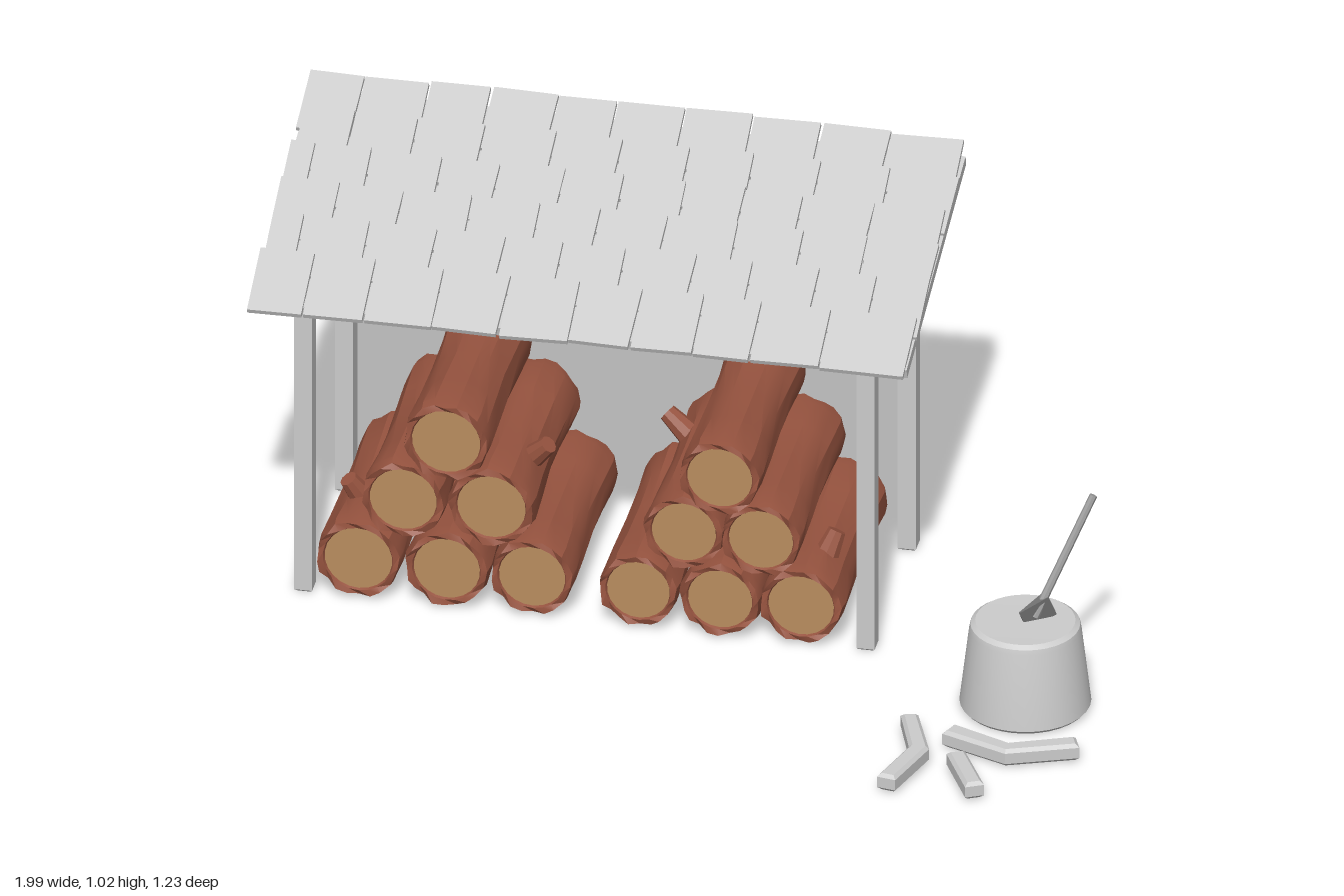
import * as THREE from 'three';
import { toCreasedNormals } from 'three/addons/utils/BufferGeometryUtils.js';

const material = (name, color) => {
  const m = new THREE.MeshStandardMaterial({ color });
  m.name = name;
  return m;
};

export function createModel() {
  const model = new THREE.Group();
  model.name = 'woodShelter';
  const grey = material('paleGrey', 0xcccccc);
  const midGrey = material('handleGrey', 0xa0a0a0);
  const darkGrey = material('axeGrey', 0x707070);
  const bark = material('bark', 0x96533f);
  const cutWood = material('cutWood', 0xb98d5f);

  let seed = 7;
  const rand = (a, b) => {
    seed = (seed * 16807) % 2147483647;
    return a + (b - a) * (seed / 2147483647);
  };
  const add = (name, geometry, mat, parent = model) => {
    const mesh = new THREE.Mesh(geometry, mat);
    mesh.name = name;
    parent.add(mesh);
    return mesh;
  };

  // Rectangle extruded upwards with chamfered edges, from y = 0 to y = height
  const slab = (points, height, bevel) => {
    const g = new THREE.ExtrudeGeometry(new THREE.Shape(points.map(p => new THREE.Vector2(...p))), {
      depth: height - 2 * bevel, bevelSize: bevel, bevelThickness: bevel, bevelOffset: -bevel, bevelSegments: 1,
    });
    return g.rotateX(Math.PI / 2).translate(0, height - bevel, 0);
  };

  // Four posts, taller at the back
  for (const x of [-0.883, 0.422]) {
    for (const [z, h, d, name] of [[-0.033, 0.783, 0.023, 'frontPost'], [-0.494, 0.92, 0.024, 'backPost']]) {
      const w = 0.021;
      add(name, slab([[-w, -d], [w, -d], [w, d], [-w, d]], h, 0.005), grey).position.set(x, 0.002, z);
    }
  }

  // Sloping roof board
  const board = add('roofBoard', new THREE.BoxGeometry(1.52, 0.025, 0.685), grey);
  board.position.set(-0.227, 0.877, -0.267);
  board.rotation.x = 0.275;

  // Six rows of uneven shingles, each tilted more steeply than the board
  const roof = new THREE.Group();
  roof.name = 'shingles';
  model.add(roof);
  const backs = [-0.065, -0.18, -0.29, -0.395, -0.5, -0.61];
  const firstWidths = [0.13, 0.075, 0.14, 0.06, 0.12, 0.13];
  backs.forEach((zBack, row) => {
    let x = -0.99 + rand(-0.005, 0.008);
    let width = firstWidths[row];
    while (x < 0.52) {
      let end = x + width;
      if (end > 0.48) end = 0.535 + rand(-0.005, 0.005);
      const length = 0.168 + rand(-0.006, 0.01);
      const s = add('shingle', new THREE.BoxGeometry(end - x - 0.005, 0.012, length), grey, roof);
      s.position.set((x + end) / 2, 0.822 + (-0.065 - zBack) * 0.292 + rand(-0.002, 0.003), zBack + 0.077 + rand(-0.004, 0.004));
      s.rotation.set(0.41, rand(-0.025, 0.025), rand(-0.012, 0.012));
      x = end;
      width = rand(0.13, 0.165);
    }
  });

  // A log: ragged bark sleeve with a raised rim and a cut face at each end
  const makeLog = (x, y, radius) => {
    const log = new THREE.Group();
    log.name = 'log';
    const half = 0.258 + rand(-0.004, 0.006);
    const profile = [[0.8, -half + 0.008], [0.84, -half], [0.98, -half], [1.02, -half + 0.03], [0.97, -0.13], [0.93, 0],
      [0.97, 0.13], [1.02, half - 0.03], [0.98, half], [0.84, half], [0.8, half - 0.008]];
    const g = new THREE.LatheGeometry(profile.map(([r, z]) => new THREE.Vector2(r * radius, z)), 22);
    const p = g.attributes.position;
    const phase = rand(0, 6);
    for (let i = 0; i < p.count; i++) {
      const px = p.getX(i), py = p.getY(i), pz = p.getZ(i);
      const r = Math.hypot(px, pz);
      if (r < radius * 0.9) continue;
      const a = Math.atan2(pz, px);
      const k = 1 + 0.025 * Math.sin(9 * a + phase + py * 6) + 0.02 * Math.sin(4 * a - phase + py * 14);
      const ragged = Math.abs(py) > half - 0.01 ? 0.008 * Math.sin(7 * a + phase) : 0;
      p.setXYZ(i, px * k, py + Math.sign(py) * ragged, pz * k);
    }
    g.rotateX(Math.PI / 2);
    add('bark', toCreasedNormals(g, 0.45), bark, log);
    for (const side of [1, -1]) {
      const face = add('cutFace', new THREE.CircleGeometry(radius * 0.82, 22), cutWood, log);
      face.position.z = side * (half - 0.006);
      if (side < 0) face.rotation.y = Math.PI;
    }
    log.position.set(x, y, -0.263 + rand(-0.004, 0.004));
    log.rotation.z = rand(-0.1, 0.1);
    model.add(log);
  };
  const logs = [
    [-0.755, 0.105, 0.097], [-0.55, 0.102, 0.095], [-0.353, 0.102, 0.095],
    [-0.65, 0.275, 0.096], [-0.445, 0.28, 0.098], [-0.55, 0.44, 0.098],
    [-0.105, 0.1, 0.09], [0.085, 0.1, 0.092], [0.272, 0.102, 0.094],
    [0, 0.263, 0.092], [0.178, 0.262, 0.092], [0.085, 0.421, 0.093],
  ];
  logs.forEach(l => makeLog(...l));

  // Short cut branches on four of the logs
  const up = new THREE.Vector3(0, 1, 0);
  const rod = (name, from, to, r0, r1, sides, mat) => {
    const a = new THREE.Vector3(...from), b = new THREE.Vector3(...to);
    const dir = b.clone().sub(a);
    const mesh = add(name, toCreasedNormals(new THREE.CylinderGeometry(r1, r0, dir.length(), sides), 0.6), mat);
    mesh.position.copy(a).add(b).multiplyScalar(0.5);
    mesh.quaternion.setFromUnitVectors(up, dir.normalize());
  };
  for (const [from, to] of [
    [[-0.765, 0.165, -0.16], [-0.805, 0.235, -0.14]],
    [[-0.4, 0.315, -0.16], [-0.34, 0.38, -0.14]],
    [[-0.045, 0.3, -0.36], [-0.115, 0.355, -0.38]],
    [[0.3, 0.155, -0.13], [0.325, 0.222, -0.16]],
  ]) rod('branchStub', from, to, 0.032, 0.021, 9, bark);

  // Chopping block: tapered stump with a rounded upper edge
  const stump = new THREE.LatheGeometry([[0, 0.004], [0.143, 0.004], [0.15, 0.012], [0.128, 0.2], [0.125, 0.212],
    [0.114, 0.22], [0, 0.218]].map(p => new THREE.Vector2(...p)), 32);
  add('choppingBlock', toCreasedNormals(stump, 0.6), grey).position.set(0.825, 0, 0.145);

  // Axe stuck in the block: wedge head and slim handle
  const wedge = new THREE.BoxGeometry(0.075, 0.055, 0.026);
  const wp = wedge.attributes.position;
  for (let i = 0; i < wp.count; i++) if (wp.getX(i) < 0) wp.setZ(i, wp.getZ(i) * 0.15);
  wedge.computeVertexNormals();
  const head = add('axeHead', wedge, darkGrey);
  head.position.set(0.848, 0.234, 0.13);
  head.rotation.set(0, 0.7, 0.4);
  rod('axeHandle', [0.845, 0.225, 0.135], [0.96, 0.5, 0.034], 0.01, 0.009, 8, midGrey);

  // Split sticks on the ground, as chamfered outlines in x and z
  const sticks = [
    [[0.573, 0.325], [0.612, 0.315], [0.667, 0.46], [0.62, 0.613], [0.576, 0.605], [0.62, 0.46]],
    [[0.7, 0.342], [0.84, 0.4], [0.983, 0.342], [1, 0.385], [0.84, 0.446], [0.682, 0.386]],
    [[0.71, 0.473], [0.75, 0.455], [0.822, 0.592], [0.782, 0.612]],
  ];
  sticks.forEach(s => { add('splitStick', slab(s, 0.043, 0.008), grey).position.y = 0.006; });

  return model;
}
